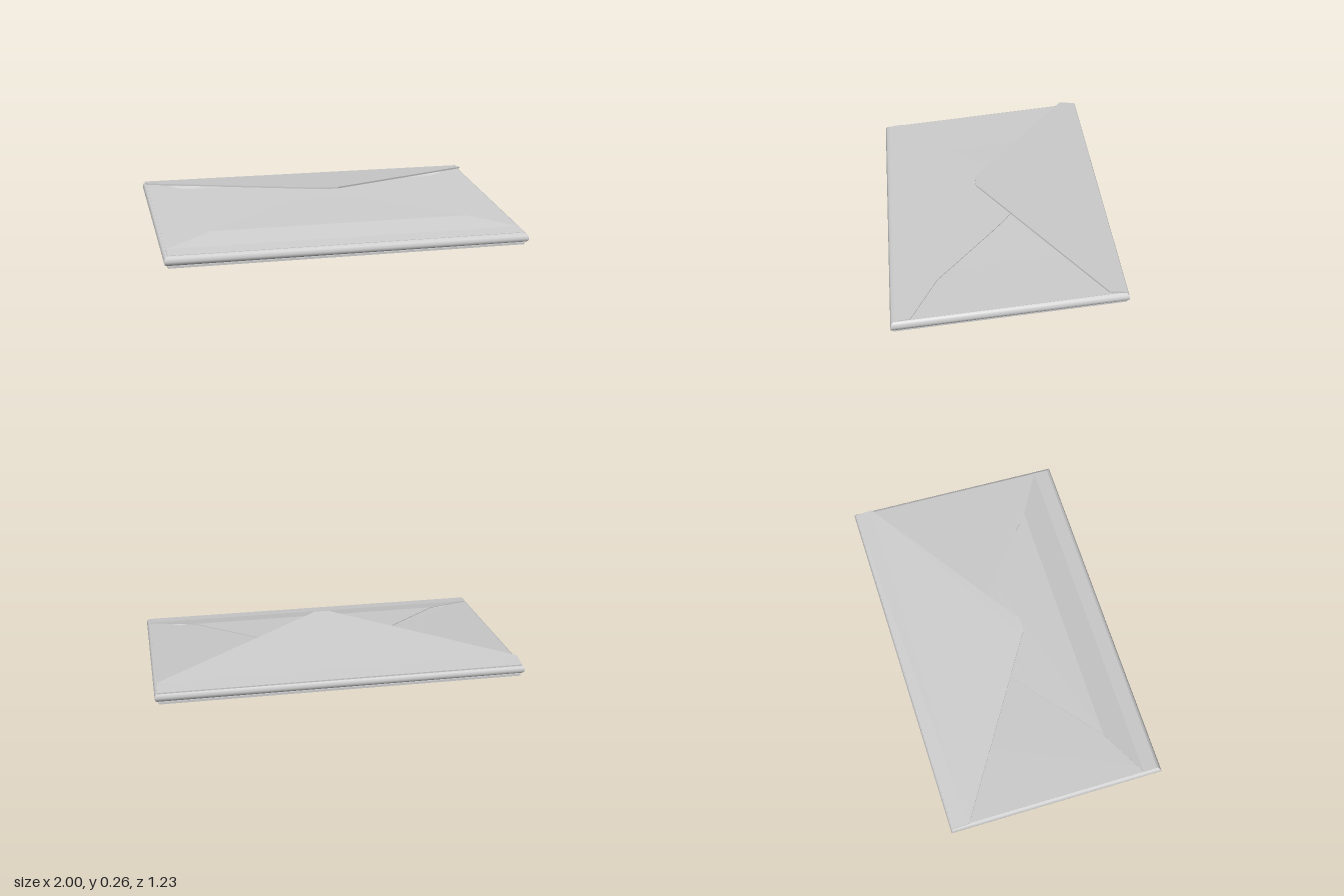
import * as THREE from 'three';

const TH = 0.065; // body thickness
const base = (z) => 0.06 - 0.095 * z; // the body leans up toward the back
const top = (z) => base(z) + TH;

// Surface through rows of points, flat or smooth along each strip
function loft(rows, flat) {
  const n = rows[0].length, idx = [];
  for (let i = 0; i < rows.length - 1; i++)
    for (let j = 0; j < n - 1; j++) {
      const a = i * n + j, b = a + 1, c = a + n, d = c + 1;
      idx.push(a, c, b, b, c, d);
    }
  let g = new THREE.BufferGeometry();
  g.setAttribute('position', new THREE.Float32BufferAttribute(rows.flat(2), 3));
  g.setIndex(idx);
  if (flat) g = g.toNonIndexed();
  g.computeVertexNormals();
  return g;
}

// Thin slab of paper: each row [left, right] is given on its upper face
function paper(rows, t) {
  const down = ([x, y, z]) => [x, y - t, z];
  const section = rows.map(([l, r]) => [l, r, down(r), down(l), l]);
  const first = section[0], last = section[section.length - 1];
  const cap = (s) => [s[0], s[0], s[0], s[0], s[0]].map((p, i) => (i === 1 || i === 2 ? s[3] : p));
  const capRow = (s) => [s[0], s[1], s[1], s[0], s[0]].map((p, i) => (i === 4 ? s[0] : p));
  return loft([capRow(first), ...section, capRow(last)], true);
}

export function createModel() {
  const model = new THREE.Group();
  const mat = new THREE.MeshStandardMaterial({ color: 0xcccccc, side: THREE.DoubleSide });
  mat.name = 'pale grey paper';
  const add = (name, geometry) => {
    const m = new THREE.Mesh(geometry, mat);
    m.name = name;
    model.add(m);
  };

  // Back panel lying underneath
  add('backPanel', paper([
    [[-0.98, base(-0.605) + 0.012, -0.605], [0.98, base(-0.605) + 0.012, -0.605]],
    [[-0.98, base(0.6) + 0.012, 0.6], [0.98, base(0.6) + 0.012, 0.6]],
  ], 0.012));

  // Rounded folds along the four edges: [inset, height]
  const fold = [[0.03, 0.012], [0.01, 0.017], [0.002, 0.026], [0, 0.038], [0.004, 0.052], [0.01, 0.06], [0.025, TH]];
  const corner = (sx, sz) => fold.map(([i, h]) => {
    const z = sz * (0.615 - i);
    return [sx * (1 - i), base(z) + h, z];
  });
  const corners = [[-1, 1], [1, 1], [1, -1], [-1, -1]];
  ['frontFold', 'leftFold', 'backFold', 'rightFold'].forEach((name, i) => {
    add(name, loft([corner(...corners[i]), corner(...corners[(i + 1) % 4])], false));
  });

  // Side flaps folded in flat beneath the front flap
  for (const s of [1, -1]) {
    const rows = [[0.98, -0.585, 0.585, 0], [0.6, -0.3, 0.25, 0.004], [0.12, -0.03, -0.02, 0.01]].map(
      ([x, z0, z1, lift]) => {
        const a = [s * x, top(z0) + lift, z0], b = [s * x, top(z1) + lift, z1];
        return s > 0 ? [b, a] : [a, b];
      });
    add(s > 0 ? 'leftFlap' : 'rightFlap', paper(rows, 0.004));
  }

  // Front flap bulging over the side flaps: [z, half width, y]
  const across = ([z, w, y]) => [[-w, y, z], [w, y, z]];
  add('frontFlap', paper([
    [-0.1, 0.15, 0.152], [-0.03, 0.25, 0.147], [0.05, 0.35, 0.142],
    [0.36, 0.72, 0.122], [0.51, 0.98, 0.082], [0.592, 0.98, 0.07],
  ].map(across), 0.004));

  // Closing flap, raised at its blunt tip
  add('closingFlap', paper([
    [-0.605, 0.985, 0.185], [-0.51, 0.985, 0.195], [0.09, 0.062, 0.261], [0.105, 0.045, 0.263],
  ].map(across), 0.009));

  return model;
}
